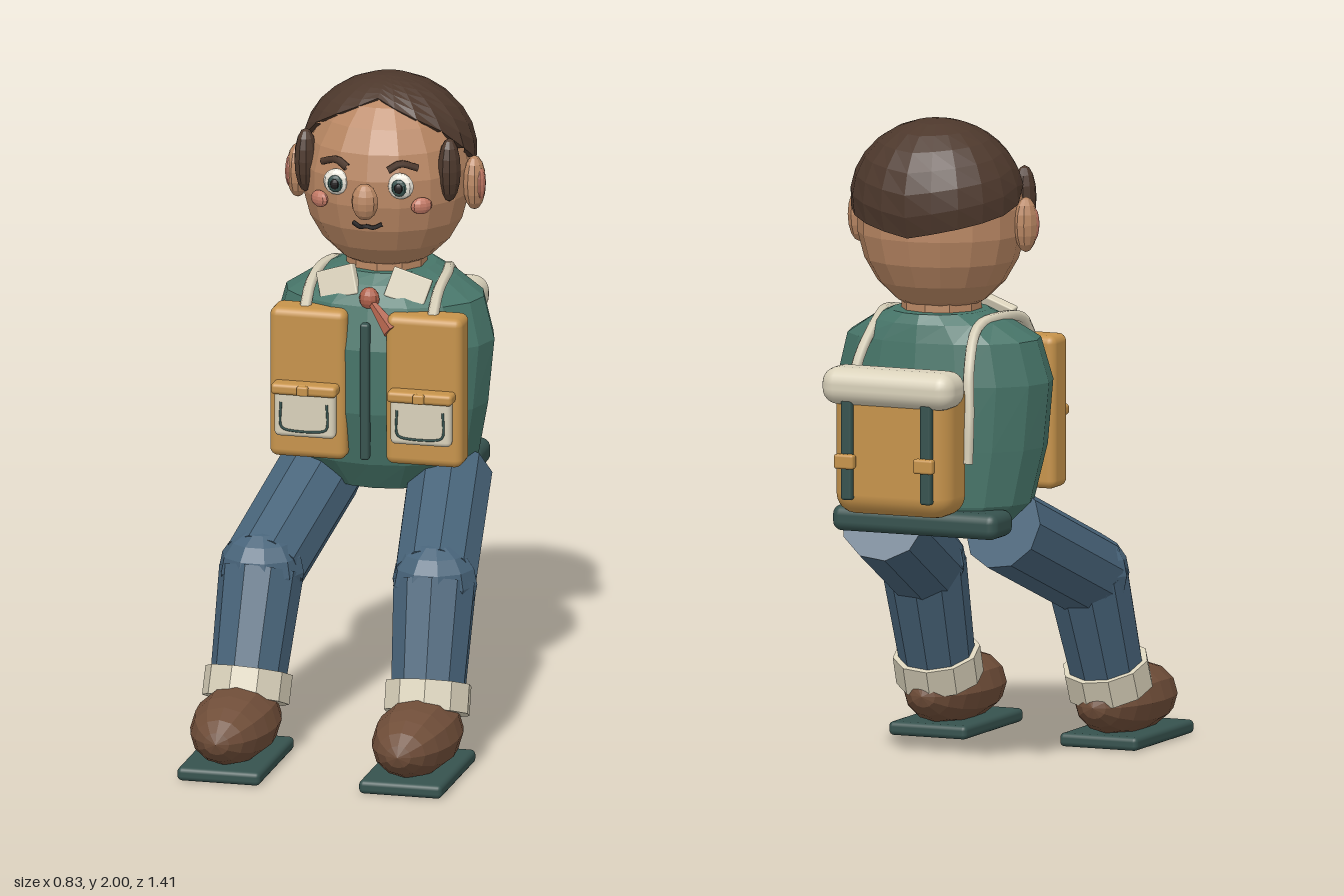
import * as THREE from 'three';
import { RoundedBoxGeometry } from 'three/addons/geometries/RoundedBoxGeometry.js';

const C = {
  skin: 0xb98763, blush: 0xc47a66, hair: 0x4d382c, green: 0x477569, dark: 0x36524e, tan: 0xc6934b,
  cream: 0xd9d1ba, denim: 0x48647a, leather: 0x704e39, red: 0xb0624c, black: 0x221f1f, white: 0xe8e4d8,
};
const V = (x, y, z) => new THREE.Vector3(x, y, z);

export function createModel() {
  const root = new THREE.Group();
  root.name = 'seatedTraveller';

  function add(name, geo, color, pos = [0, 0, 0], { rot = [0, 0, 0], scale = [1, 1, 1], flat = true } = {}) {
    const mat = new THREE.MeshStandardMaterial({ color: C[color], flatShading: flat, side: THREE.DoubleSide });
    const m = new THREE.Mesh(geo, mat);
    m.name = name;
    m.position.set(...pos);
    m.rotation.set(...rot);
    m.scale.set(...scale);
    root.add(m);
    return m;
  }
  const ball = (name, color, pos, scale, w = 10, h = 8, rot) =>
    add(name, new THREE.SphereGeometry(1, w, h), color, pos, { scale, rot });
  const box = (name, color, pos, [w, h, d], r = 0.01, rot) =>
    add(name, new RoundedBoxGeometry(w, h, d, 3, r), color, pos, { rot, flat: false });
  const tube = (name, color, pts, r, seg = 20) =>
    add(name, new THREE.TubeGeometry(new THREE.CatmullRomCurve3(pts), seg, r, 6), color, undefined, { flat: false });
  // tapered cylinder running from point a to point b
  function limb(name, color, a, b, ra, rb, open = false, sides = 10) {
    const d = b.clone().sub(a);
    const m = add(name, new THREE.CylinderGeometry(rb, ra, d.length(), sides, 1, open), color);
    m.position.copy(a).add(b).multiplyScalar(0.5);
    m.quaternion.setFromUnitVectors(V(0, 1, 0), d.normalize());
    return m;
  }

  // torso: rings of [y, half width, centre z, half depth]
  const rings = [[0.74, 0.2, -0.28, 0.17], [0.83, 0.29, -0.26, 0.21], [1.0, 0.325, -0.24, 0.235],
    [1.2, 0.345, -0.24, 0.235], [1.33, 0.31, -0.25, 0.21], [1.385, 0.22, -0.27, 0.18], [1.415, 0.15, -0.28, 0.155]];
  const torso = new THREE.CylinderGeometry(1, 1, 1, 16, rings.length - 1);
  const tp = torso.attributes.position;
  for (let i = 0; i < tp.count; i++) {
    const [y, w, zc, d] = rings[Math.round((tp.getY(i) + 0.5) * (rings.length - 1))];
    tp.setXYZ(i, tp.getX(i) * w, y, tp.getZ(i) * d + zc);
  }
  add('jacket', torso, 'green');
  box('jacketHem', 'dark', [0, 0.78, -0.41], [0.55, 0.08, 0.15], 0.03);
  box('zip', 'dark', [0, 1.075, -0.005], [0.028, 0.43, 0.03], 0.008);
  limb('neck', 'skin', V(0, 1.37, -0.27), V(0, 1.5, -0.27), 0.125, 0.12);

  // neckerchief
  ball('kerchiefKnot', 'red', [0, 1.355, -0.055], [0.032, 0.035, 0.027]);
  limb('kerchiefTail', 'red', V(0.01, 1.345, -0.045), V(0.08, 1.27, -0.015), 0.012, 0.03, false, 6);

  // head
  ball('head', 'skin', [0, 1.69, -0.27], [0.26, 0.29, 0.25], 16, 11);
  ball('nose', 'skin', [0, 1.675, 0], [0.042, 0.057, 0.035]);
  tube('mouth', 'black', [V(-0.045, 1.598, -0.035), V(-0.02, 1.588, -0.025), V(0, 1.592, -0.022),
    V(0.02, 1.588, -0.025), V(0.045, 1.598, -0.035)], 0.007);

  // hair cap: the hemline angle varies from forehead (0) round to nape (PI)
  const hemline = [[0, 0.6], [0.5, 0.85], [1.05, 1.18], [1.4, 1.55], [1.9, 1.72], [Math.PI, 2.0]];
  const hemAt = (a) => {
    const i = Math.max(1, hemline.findIndex(([k]) => k >= a - 1e-4));
    const [[a0, t0], [a1, t1]] = [hemline[i - 1], hemline[i]];
    return t0 + (t1 - t0) * (a - a0) / (a1 - a0);
  };
  const hair = new THREE.SphereGeometry(1, 20, 8);
  const hp = hair.attributes.position;
  const cols = 21;
  for (let i = 0; i < hp.count; i++) {
    const row = Math.floor(i / cols);
    const az = ((i % cols) / 20) * Math.PI * 2;
    const a = az > Math.PI ? 2 * Math.PI - az : az;
    // the last row tucks in towards the scalp
    const t = hemAt(a) * Math.min(row / 7, 1);
    const k = row === 8 ? 0.86 : 1;
    hp.setXYZ(i, 0.27 * k * Math.sin(t) * Math.sin(az), 0.24 * k * Math.cos(t), 0.245 * k * Math.sin(t) * Math.cos(az));
  }
  add('hair', hair, 'hair', [0, 1.76, -0.3]);

  for (const s of [-1, 1]) {
    const side = s > 0 ? 'left' : 'right';
    // face
    ball(side + 'Sideburn', 'hair', [s * 0.225, 1.75, -0.155], [0.036, 0.1, 0.04]);
    ball(side + 'Ear', 'skin', [s * 0.277, 1.685, -0.26], [0.036, 0.085, 0.043]);
    ball(side + 'InnerEar', 'blush', [s * 0.298, 1.685, -0.25], [0.016, 0.052, 0.025]);
    ball(side + 'Eye', 'white', [s * 0.1, 1.72, -0.045], [0.042, 0.041, 0.022]);
    ball(side + 'Iris', 'dark', [s * 0.1, 1.718, -0.027], [0.024, 0.027, 0.01]);
    ball(side + 'Pupil', 'black', [s * 0.1, 1.718, -0.02], [0.014, 0.016, 0.008]);
    tube(side + 'Eyebrow', 'hair', [V(s * 0.065, 1.77, -0.035), V(s * 0.1, 1.79, -0.045), V(s * 0.15, 1.775, -0.065)], 0.012, 6);
    ball(side + 'Cheek', 'blush', [s * 0.16, 1.655, -0.07], [0.034, 0.026, 0.018], 10, 8, [0, s * 0.6, 0]);
    box(side + 'Collar', 'cream', [s * 0.11, 1.382, -0.105], [0.125, 0.095, 0.03], 0.005, [-0.3, s * 0.2, s * -0.28]);

    // chest bag with pocket
    const bx = s * 0.182;
    box(side + 'ChestBag', 'tan', [bx, 1.085, -0.055], [0.24, 0.47, 0.11], 0.025);
    box(side + 'Pocket', 'cream', [bx, 1.0, 0.015], [0.19, 0.15, 0.04], 0.015);
    box(side + 'PocketFlap', 'tan', [bx, 1.077, 0.02], [0.205, 0.035, 0.06], 0.012);
    box(side + 'PocketClasp', 'tan', [bx, 1.078, 0.052], [0.035, 0.03, 0.02], 0.006);
    tube(side + 'PocketStitch', 'dark', [V(bx - 0.072, 1.035, 0.035), V(bx - 0.072, 0.96, 0.035), V(bx - 0.06, 0.95, 0.035),
      V(bx + 0.06, 0.95, 0.035), V(bx + 0.072, 0.96, 0.035), V(bx + 0.072, 1.035, 0.035)], 0.004, 30);

    // shoulder strap
    tube(side + 'Strap', 'cream', [V(s * 0.2, 1.31, -0.05), V(s * 0.2, 1.37, -0.11), V(s * 0.195, 1.395, -0.24),
      V(s * 0.17, 1.375, -0.38), V(s * 0.185, 1.27, -0.475), V(s * 0.2, 1.12, -0.51), V(s * 0.2, 0.98, -0.52)], 0.018, 24);

    // backpack fastening
    box(side + 'PackStrap', 'dark', [s * 0.132, 1.03, -0.67], [0.036, 0.32, 0.03], 0.008);
    box(side + 'PackBuckle', 'tan', [s * 0.132, 0.99, -0.69], [0.065, 0.045, 0.03], 0.008);

    // leg
    const hip = V(s * 0.2, 0.75, -0.26), knee = V(s * 0.272, 0.55, 0.2), ankle = V(s * 0.283, 0.22, 0.33);
    const shin = ankle.clone().sub(knee).normalize();
    limb(side + 'Thigh', 'denim', hip, knee, 0.132, 0.13);
    ball(side + 'Knee', 'denim', knee.toArray(), [0.133, 0.128, 0.128]);
    limb(side + 'Shin', 'denim', knee, ankle, 0.13, 0.115);
    limb(side + 'Cuff', 'cream', ankle.clone().addScaledVector(shin, -0.045), ankle.clone().addScaledVector(shin, 0.045), 0.134, 0.134);

    // shoe with a flattened underside, and its footplate
    const shoe = new THREE.SphereGeometry(1, 12, 10).rotateX(Math.PI / 2);
    const sp = shoe.attributes.position;
    for (let i = 0; i < sp.count; i++) sp.setY(i, Math.max(sp.getY(i), -0.8));
    add(side + 'Shoe', shoe, 'leather', [s * 0.285, 0.135, 0.46], { scale: [0.13, 0.113, 0.25] });
    box(side + 'Footplate', 'dark', [s * 0.285, 0.025, 0.465], [0.26, 0.042, 0.43], 0.015);
  }

  // backpack and bedroll
  box('backpack', 'tan', [0, 1.035, -0.57], [0.39, 0.43, 0.19], 0.065);
  box('bedroll', 'cream', [0, 1.217, -0.625], [0.44, 0.115, 0.15], 0.05);

  return root;
}
